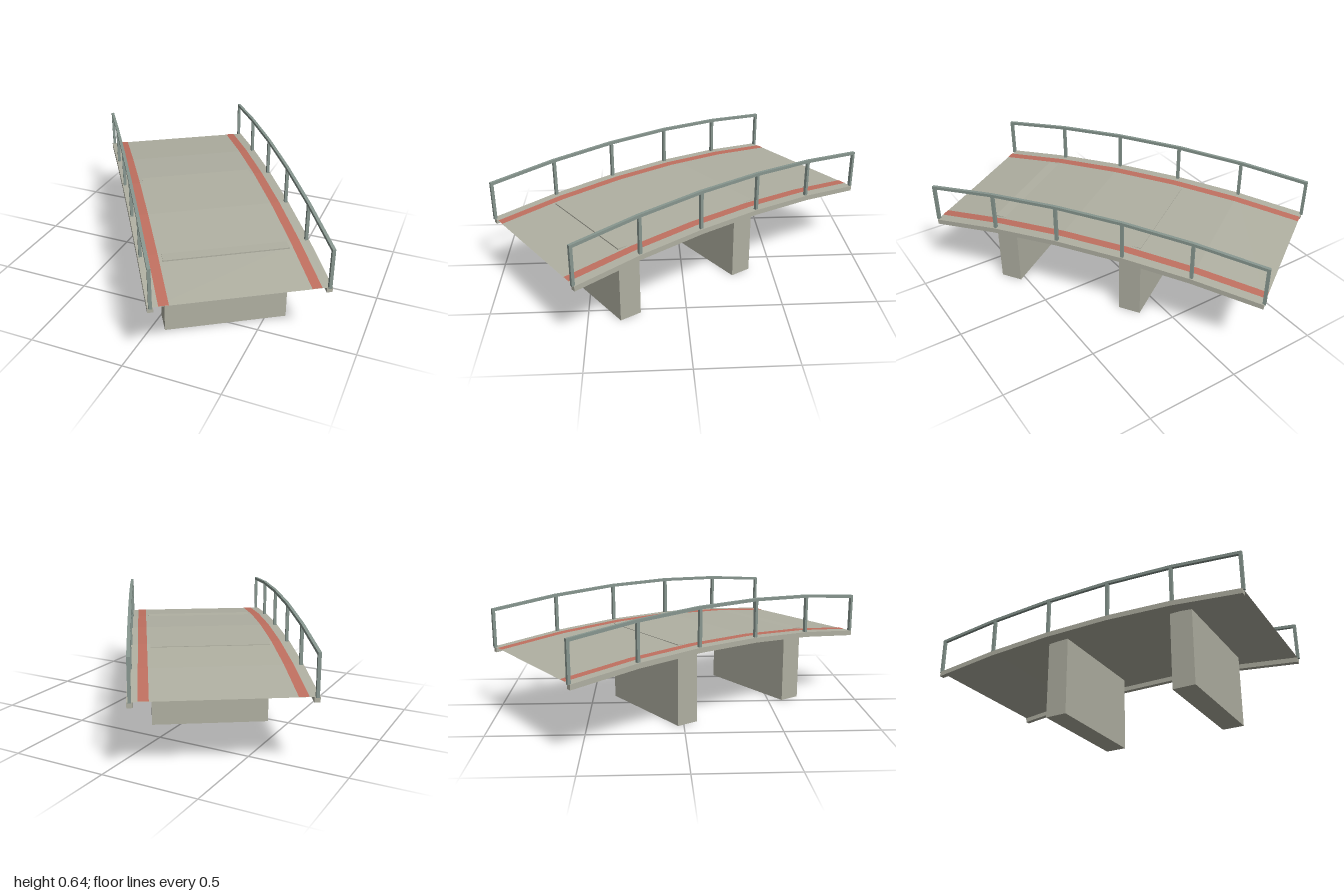
import * as THREE from 'three';

const HALF = 0.912, SPANS = 5, EDGE = 0.414, BEAM_W = 0.028, RAIL_H = 0.207, BAR = 0.016;
const nodes = Array.from({ length: SPANS + 1 }, (_, i) => -HALF + (2 * HALF * i) / SPANS);
const archY = (z) => 0.4345 - 0.0752 * z * z;

const mat = (color, extra = {}) => new THREE.MeshStandardMaterial({ color, flatShading: true, ...extra });

// Arched bar: side profile between two offsets from the arch, extruded across the width
function archedBar(width, top, bottom, half = HALF) {
  const zs = nodes.map((z) => (z * half) / HALF);
  const upper = zs.map((z, i) => new THREE.Vector2(z, archY(nodes[i]) + top));
  const lower = zs.map((z, i) => new THREE.Vector2(z, archY(nodes[i]) + bottom)).reverse();
  const geo = new THREE.ExtrudeGeometry(new THREE.Shape([...lower.reverse(), ...upper.reverse()]), {
    depth: width, bevelEnabled: false,
  });
  return geo.translate(0, 0, -width / 2).rotateY(-Math.PI / 2);
}

// Thin sheet that follows the arch
function archedSheet(width, lift) {
  const geo = new THREE.PlaneGeometry(width, 2 * HALF, 1, SPANS).rotateX(-Math.PI / 2);
  const p = geo.attributes.position;
  for (let i = 0; i < p.count; i++) p.setY(i, archY(p.getZ(i)) + lift);
  geo.computeVertexNormals();
  return geo;
}

export function createModel() {
  const model = new THREE.Group();
  model.name = 'footbridge';
  const stone = mat(0xb0b0a2);
  const deckMat = mat(0xb0b0a2, { side: THREE.DoubleSide });
  const steel = mat(0x87968f);
  const red = mat(0xc07060);

  const add = (parent, name, geo, material, x = 0, y = 0, z = 0) => {
    const mesh = new THREE.Mesh(geo, material);
    mesh.name = name;
    mesh.position.set(x, y, z);
    parent.add(mesh);
  };

  // Walking surface
  add(model, 'deck', archedSheet(2 * EDGE - BEAM_W, 0), deckMat);

  // Edge beams, painted stripes and railings, mirrored on both sides
  for (const side of [-1, 1]) {
    const label = side > 0 ? 'left' : 'right';
    add(model, label + 'EdgeBeam', archedBar(BEAM_W, 0, -0.027), stone, side * EDGE);
    add(model, label + 'Stripe', archedSheet(0.048, 0.002), red, side * 0.354);

    const railing = new THREE.Group();
    railing.name = label + 'Railing';
    add(railing, 'handrail', archedBar(BAR, RAIL_H, RAIL_H - BAR, HALF + BAR / 2), steel);
    const postH = RAIL_H - BAR / 2;
    for (const z of nodes) {
      add(railing, 'post', new THREE.BoxGeometry(BAR, postH, BAR), steel, 0, archY(z) + postH / 2 - 0.003, z);
    }
    railing.position.x = side * EDGE;
    model.add(railing);
  }

  // Wall piers under two of the deck joints
  for (const z of [nodes[2], nodes[4]]) {
    const h = archY(z);
    add(model, 'pier', new THREE.BoxGeometry(0.626, h, 0.12), stone, 0, h / 2, z);
  }

  // The bridge crosses at an angle
  model.rotation.y = 0.583;
  const root = new THREE.Group();
  root.name = 'bridge';
  root.add(model);
  return root;
}
